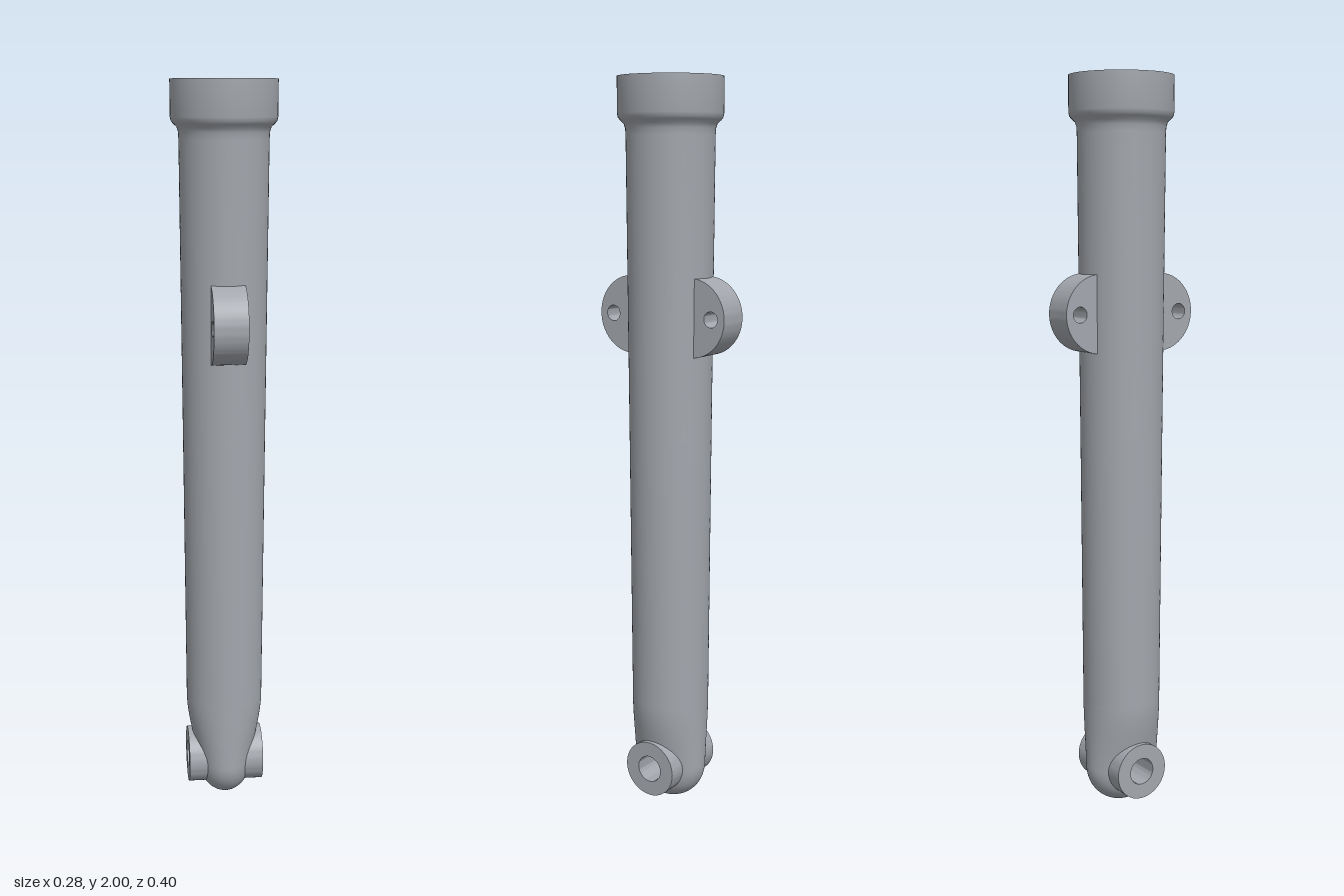
import * as THREE from 'three';
import { mergeVertices, toCreasedNormals } from 'three/addons/utils/BufferGeometryUtils.js';

const R = 0.107;        // tube radius at the foot
const FOOT_TOP = 0.3;   // where the flattened foot meets the tube
const EYE_Y = 0.11;     // axle eye height
const EYE_R = 0.037;    // axle hole radius

const metal = new THREE.MeshStandardMaterial({ color: 0xa3a7ad });
metal.name = 'cast metal grey';

function part(name, geometry) {
  const mesh = new THREE.Mesh(geometry, metal);
  mesh.name = name;
  return mesh;
}

function lathe(points, segments) {
  const profile = points.map(([x, y]) => new THREE.Vector2(x, y));
  return toCreasedNormals(new THREE.LatheGeometry(profile, segments), 0.6);
}

// Half thickness in x of the foot: narrows downward and rounds off at the bottom
function footThickness(y, z) {
  const base = 0.075 + (R - 0.075) * THREE.MathUtils.smoothstep(y, 0.06, FOOT_TOP);
  const round = y < 0.09 ? Math.sqrt(Math.max(0, 1 - ((0.09 - y) / 0.09) ** 2)) : 1;
  const depth = y < R ? Math.sqrt(Math.max(1e-9, R * R - (R - y) ** 2)) : R;
  return base * round * Math.sqrt(Math.max(0, 1 - (z / depth) ** 2));
}

// Foot skin: rings from the axle hole out to the side outline, on both sides
function footGeometry() {
  const outline = [];
  for (let i = 0; i < 36; i++) {
    const a = Math.PI * (1 + i / 36);
    outline.push([R * Math.cos(a), R + R * Math.sin(a)]);
  }
  for (let i = 0; i < 8; i++) outline.push([R, R + (FOOT_TOP - R) * i / 8]);
  for (let i = 0; i < 32; i++) outline.push([R * Math.cos(Math.PI * i / 32), FOOT_TOP]);
  for (let i = 0; i < 8; i++) outline.push([-R, FOOT_TOP - (FOOT_TOP - R) * i / 8]);

  const positions = [], indices = [], rings = 16, n = outline.length;
  for (const side of [1, -1]) {
    const start = positions.length / 3;
    for (const [z, y] of outline) {
      const length = Math.hypot(z, y - EYE_Y);
      for (let j = 0; j <= rings; j++) {
        const t = 1 - (1 - j / rings) ** 2;
        const k = THREE.MathUtils.lerp(EYE_R / length, 1, t);
        const py = EYE_Y + (y - EYE_Y) * k, pz = z * k;
        positions.push(side * footThickness(py, pz), py, pz);
      }
    }
    for (let i = 0; i < n; i++) {
      for (let j = 0; j < rings; j++) {
        const a = start + i * (rings + 1) + j, b = a + 1;
        const d = start + ((i + 1) % n) * (rings + 1) + j, c = d + 1;
        if (side > 0) indices.push(a, c, b, a, d, c);
        else indices.push(a, b, c, a, c, d);
      }
    }
  }
  const geometry = new THREE.BufferGeometry();
  geometry.setAttribute('position', new THREE.Float32BufferAttribute(positions, 3));
  geometry.setIndex(indices);
  const merged = mergeVertices(geometry, 1e-5);
  merged.computeVertexNormals();
  return merged;
}

// Half-round mounting lug with a cross hole, its root reaching into the bore
function lugGeometry() {
  const radius = 0.105, width = 0.09, root = 0.07, centre = 0.094;
  const shape = new THREE.Shape();
  shape.moveTo(root, -radius);
  shape.lineTo(centre, -radius);
  shape.absarc(centre, 0, radius, -Math.PI / 2, Math.PI / 2, false);
  shape.lineTo(root, radius);
  shape.closePath();
  const hole = new THREE.Path();
  hole.absarc(0.157, 0, 0.021, 0, Math.PI * 2, true);
  shape.holes.push(hole);
  const geometry = new THREE.ExtrudeGeometry(shape, { depth: width, bevelEnabled: false, curveSegments: 24 });
  geometry.translate(0, 0, -width / 2);
  geometry.rotateY(-Math.PI / 2);
  return toCreasedNormals(geometry, 0.6);
}

export function createModel() {
  const model = new THREE.Group();
  model.name = 'forkLeg';

  // Tapered tube with flared collar, stepped mouth and blind bore
  model.add(part('tube', lathe([
    [R, FOOT_TOP], [0.112, 1.05], [0.118, 1.85], [0.119, 1.868], [0.123, 1.88],
    [0.133, 1.889], [0.138, 1.896], [0.14, 1.906], [0.14, 2],
    [0.127, 2], [0.125, 1.92], [0.121, 1.905], [0.112, 1.893], [0.1, 1.882],
    [0.093, 1.865], [0.093, 0.24], [0, 0.24],
  ], 64)));

  model.add(part('foot', footGeometry()));

  // Axle eye running across the foot
  const eye = part('axleEye', lathe([
    [EYE_R, -0.105], [0.078, -0.105], [0.078, 0.105], [EYE_R, 0.105], [EYE_R, -0.105],
  ], 48));
  eye.rotation.z = Math.PI / 2;
  eye.position.y = EYE_Y;
  model.add(eye);

  // Front and back lugs
  const lug = lugGeometry();
  for (const [name, turn] of [['frontLug', 0], ['backLug', Math.PI]]) {
    const mesh = part(name, lug);
    mesh.position.y = 1.38;
    mesh.rotation.y = turn;
    model.add(mesh);
  }
  return model;
}
